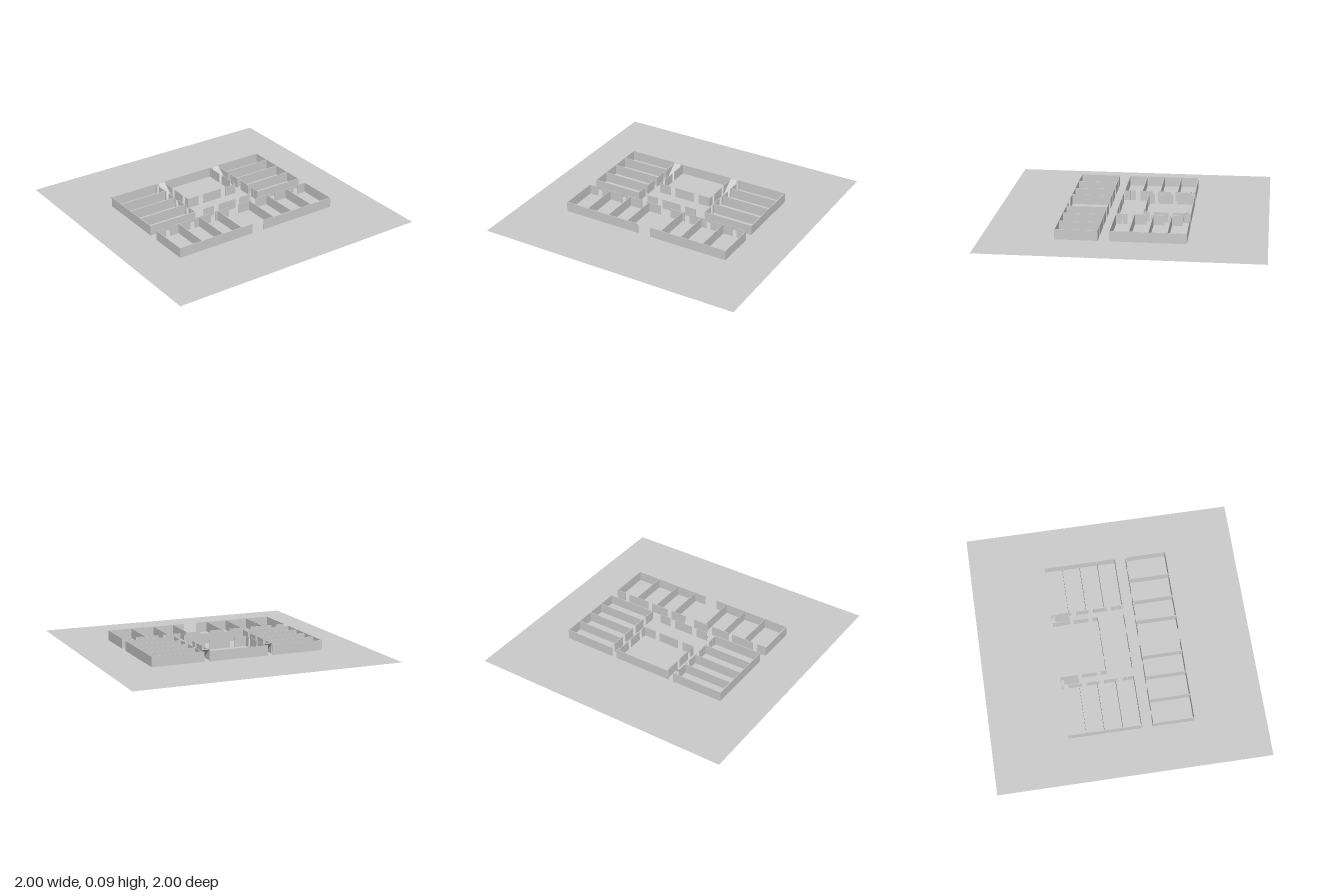
import * as THREE from 'three';

const WALL_HEIGHT = 0.075;
const material = new THREE.MeshStandardMaterial({ color: 0xcccccc, flatShading: true, side: THREE.DoubleSide });

function addMesh(parent, name, geometry) {
  const mesh = new THREE.Mesh(geometry, material);
  mesh.name = name;
  parent.add(mesh);
  return mesh;
}

// Straight wall runs along x at a given z; spans are [start, end] pairs between doorways
function wallsX(parent, name, z, spans, t = 0.005) {
  for (const [a, b] of spans) {
    addMesh(parent, name, new THREE.BoxGeometry(b - a, WALL_HEIGHT, t))
      .position.set((a + b) / 2, WALL_HEIGHT / 2, z);
  }
}

// Straight wall runs along z at a given x
function wallsZ(parent, name, x, spans, t = 0.005) {
  for (const [a, b] of spans) {
    addMesh(parent, name, new THREE.BoxGeometry(t, WALL_HEIGHT, b - a))
      .position.set(x, WALL_HEIGHT / 2, (a + b) / 2);
  }
}

// Half of the plan for one side: s = 1 for left (+x), -1 for right (-x)
function addHalf(parent, s) {
  const half = new THREE.Group();
  half.name = s > 0 ? 'leftHalf' : 'rightHalf';
  parent.add(half);
  const mirror = (spans) => spans.map(([a, b]) => (s > 0 ? [a, b] : [-b, -a]));

  // Side wing: four rooms in a row
  for (const z of [-0.44, -0.307, -0.175, -0.04, 0.095]) {
    wallsX(half, 'sideWingCrossWall', z, mirror([[0.28, 0.66]]));
  }
  wallsZ(half, 'sideWingOuterWall', s * 0.658, [[-0.44, 0.097]]);
  wallsZ(half, 'sideWingDoorWall', s * 0.28,
    [[-0.44, -0.425], [-0.39, -0.29], [-0.255, -0.16], [-0.125, -0.025], [0.01, 0.045], [0.05, 0.097]]);

  // Front wing: rooms opening to the corridor
  wallsX(half, 'frontWingFrontWall', 0.478, mirror([[0.05, 0.66]]));
  wallsX(half, 'frontWingDoorWall', 0.178,
    mirror([[0.04, 0.16], [0.2, 0.34], [0.375, 0.55], [0.585, 0.66]]), 0.004);
  wallsZ(half, 'frontWingOuterWall', s * 0.658, [[0.177, 0.48]]);
  for (const x of [0.14, 0.3, 0.477]) {
    wallsZ(half, 'frontWingPartition', s * x, [[0.177, 0.478]], 0.004);
  }

  // Central hall side wall and the stubs beside the back doorway
  wallsZ(half, 'hallSideWall', s * 0.213, [[-0.44, -0.31], [-0.28, -0.17], [-0.14, -0.1]], 0.003);
  wallsX(half, 'backDoorStub', -0.44, mirror([[0.265, 0.28], [0.215, 0.228]]));

  // Ramp rising toward the back between the hall and the side wing
  const profile = new THREE.Shape([
    new THREE.Vector2(0.305, 0), new THREE.Vector2(0.315, 0),
    new THREE.Vector2(0.415, 0.078), new THREE.Vector2(0.415, 0.086),
  ]);
  const ramp = addMesh(half, 'stairRamp',
    new THREE.ExtrudeGeometry(profile, { depth: 0.054, bevelEnabled: false }));
  ramp.rotation.y = Math.PI / 2;
  ramp.position.x = s > 0 ? 0.218 : -0.272;
}

export function createModel() {
  const model = new THREE.Group();
  model.name = 'floorPlan';

  const ground = addMesh(model, 'groundPlane', new THREE.PlaneGeometry(2, 2));
  ground.rotation.x = -Math.PI / 2;

  for (const s of [-1, 1]) addHalf(model, s);

  // Central hall and courtyard walls
  wallsX(model, 'hallBackWall', -0.44, [[-0.215, 0.215]]);
  wallsX(model, 'hallFrontWall', -0.1, [[-0.213, -0.12], [-0.08, 0.08], [0.12, 0.213]], 0.003);
  wallsX(model, 'corridorWall', 0.095, [[-0.205, -0.115], [-0.075, 0.075], [0.115, 0.205]], 0.003);

  // Small fitting on the corridor wall
  addMesh(model, 'wallFitting', new THREE.BoxGeometry(0.008, 0.012, 0.016))
    .position.set(-0.2, 0.024, 0.105);

  return model;
}
